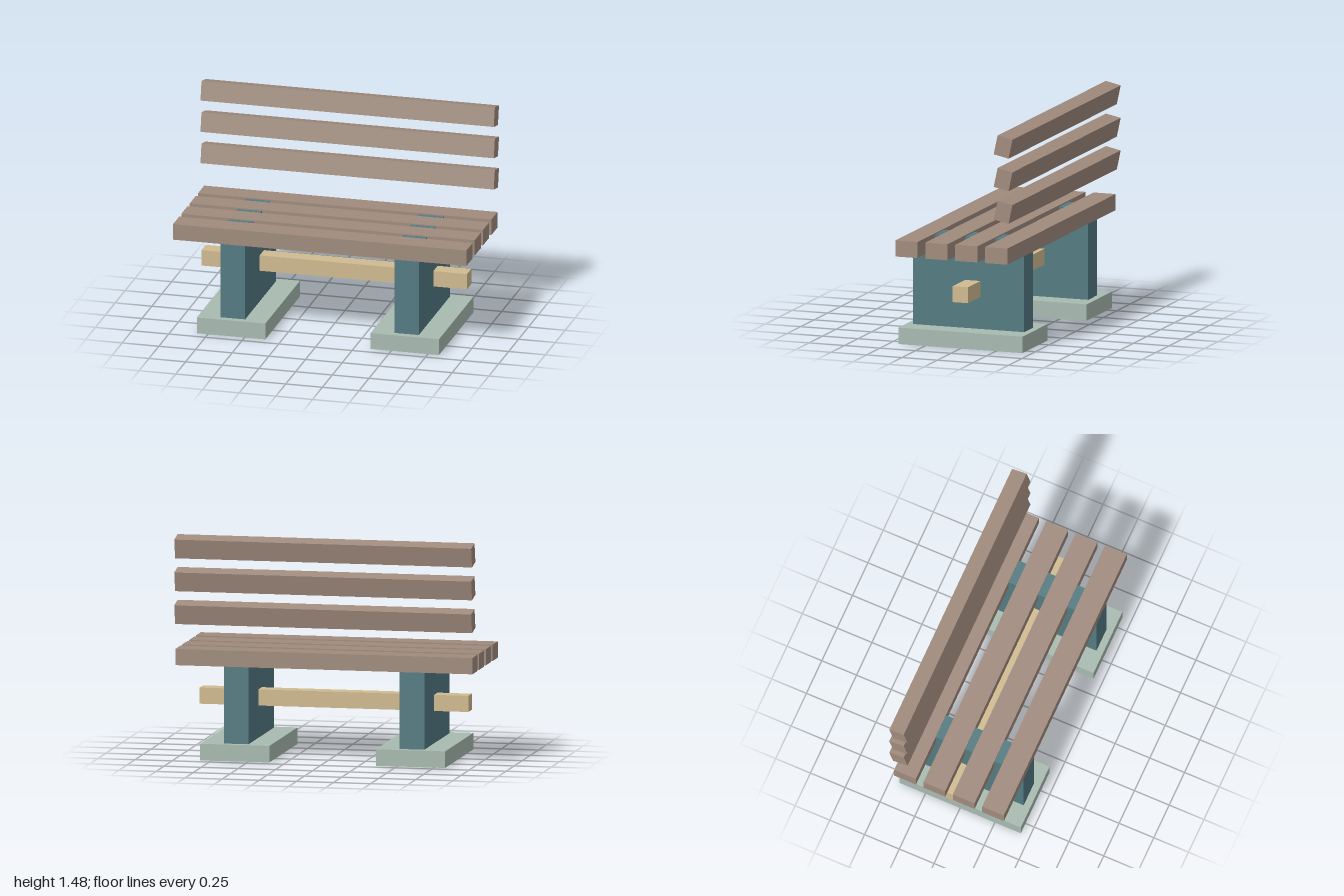
import * as THREE from 'three';

const material = (color) => new THREE.MeshStandardMaterial({ color });

export function createModel() {
  const bench = new THREE.Group();
  bench.name = 'bench';
  const wood = material(0xa08b7d);
  const teal = material(0x537b82);
  const sage = material(0xa8bab0);
  const tan = material(0xd0bb90);

  const addBox = (name, mat, size, position) => {
    const mesh = new THREE.Mesh(new THREE.BoxGeometry(...size), mat);
    mesh.name = name;
    mesh.position.set(...position);
    bench.add(mesh);
    return mesh;
  };

  // Foot slabs and the leg panels that run down through them
  for (const [side, s] of [['left', 1], ['right', -1]]) {
    addBox(`${side}Foot`, sage, [0.467, 0.11, 0.874], [s * 0.592, 0.055, 0]);
    addBox(`${side}Leg`, teal, [0.167, 0.722, 0.782], [s * 0.592, 0.361, 0]);
  }

  // Stretcher beam passing through both legs
  addBox('stretcher', tan, [1.81, 0.107, 0.108], [0, 0.378, -0.03]);

  // Seat slats, front to back
  for (let i = 0; i < 4; i++) {
    addBox(`seatSlat${i + 1}`, wood, [2, 0.108, 0.156], [0, 0.676, 0.314 - i * 0.211]);
  }

  // Floating backrest slats, each leaning back
  for (let i = 0; i < 3; i++) {
    const slat = addBox(`backSlat${i + 1}`, wood, [2, 0.131, 0.107], [0, 0.972 + i * 0.2185, -0.367]);
    slat.rotation.x = -0.21;
  }

  return bench;
}
